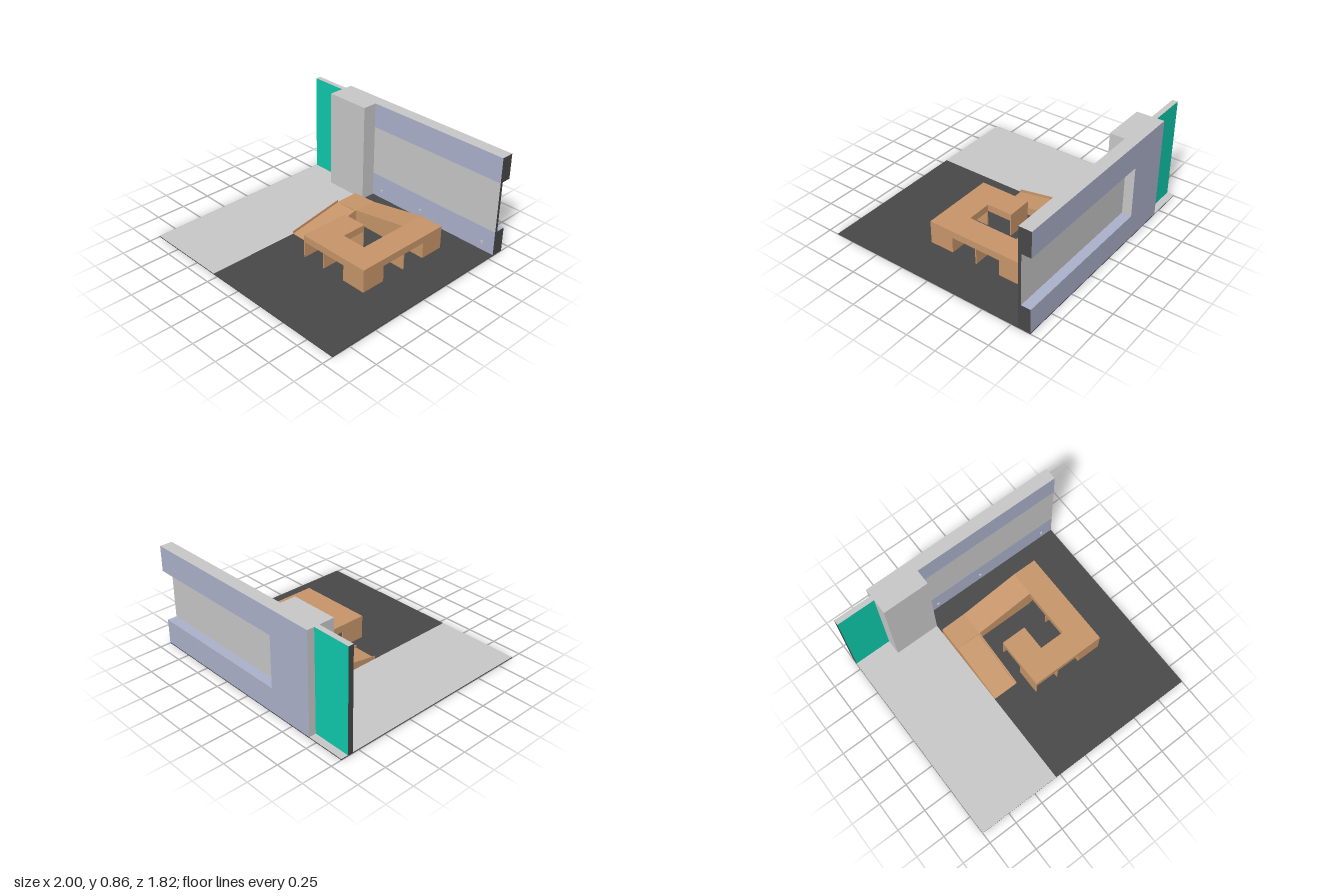
import * as THREE from 'three';

const mat = (name, color) => {
  const m = new THREE.MeshStandardMaterial({ color });
  m.name = name;
  return m;
};

export function createModel() {
  const grey = mat('lightGrey', 0xc8c8c8);
  const dark = mat('darkGrey', 0x484848);
  const blue = mat('paleBlue', 0xacb2cc);
  const green = mat('green', 0x0ecaac);
  const wood = mat('wood', 0xc8966a);
  const root = new THREE.Group();
  root.name = 'exhibitionStand';

  // Box given by its limits; a list of materials runs +x -x +y -y +z -z
  const box = (name, material, x0, x1, y0, y1, z0, z1, parent = root) => {
    const mesh = new THREE.Mesh(new THREE.BoxGeometry(x1 - x0, y1 - y0, z1 - z0), material);
    mesh.position.set((x0 + x1) / 2, (y0 + y1) / 2, (z0 + z1) / 2);
    mesh.name = name;
    parent.add(mesh);
    return mesh;
  };

  // Outline swept along z from z0 to z1
  const shapeOf = pts => new THREE.Shape(pts.map(p => new THREE.Vector2(p[0], p[1])));
  const sweepZ = (name, pts, z0, z1, parent) => {
    const g = new THREE.ExtrudeGeometry(shapeOf(pts), { depth: z1 - z0, bevelEnabled: false });
    g.translate(0, 0, z0);
    const mesh = new THREE.Mesh(g, wood);
    mesh.name = name;
    parent.add(mesh);
  };

  // Outline of (z, y) points swept along x from x0 to x1
  const sweepX = (name, pts, x0, x1, parent) => {
    const g = new THREE.ExtrudeGeometry(shapeOf(pts.map(([z, y]) => [-z, y])), { depth: x1 - x0, bevelEnabled: false });
    g.rotateY(Math.PI / 2);
    g.translate(x0, 0, 0);
    const mesh = new THREE.Mesh(g, wood);
    mesh.name = name;
    parent.add(mesh);
  };

  // Floor: dark base with a light walkway on its right
  const H = 0.86, F = 0.008;
  box('floorBase', dark, -0.29, 1, 0, F, -0.91, 0.91);
  box('walkway', [dark, dark, grey, dark, dark, dark], -1, -0.29, 0, F, -0.91, 0.91);

  // Back wall: two bands with a recessed panel between them
  const wall = new THREE.Group();
  wall.name = 'backWall';
  root.add(wall);
  const bandSides = [dark, grey, grey, blue, blue, blue];
  const sillSides = [dark, grey, blue, blue, blue, blue];
  box('lowerBand', sillSides, -0.29, 1, F, 0.215, -0.91, -0.805, wall);
  box('upperBand', bandSides, -0.29, 1, 0.648, H, -0.91, -0.805, wall);
  box('recessedPanel', [dark, grey, grey, grey, grey, grey], -0.29, 1, 0.215, 0.648, -0.83, -0.805, wall);
  box('column', [grey, grey, grey, grey, grey, blue], -0.68, -0.29, F, H, -0.91, -0.677, wall);
  box('greenPanel', [green, dark, grey, green, green, green], -1, -0.68, F, H, -0.85, -0.805, wall);
  for (const x of [-0.18, 0.25, 0.89]) box('socket', grey, x - 0.01, x + 0.01, 0.07, 0.09, -0.806, -0.797, wall);

  // Spiral counter
  const counter = new THREE.Group();
  counter.name = 'spiralCounter';
  root.add(counter);
  const U = 0.145, T = 0.205;
  const top = shapeOf([
    [0.44, 0.59], [0.65, 0.59], [0.65, -0.265], [0.01, -0.265],
    [0.01, 0.17], [0.225, 0.17], [0.225, -0.05], [0.44, -0.05],
  ]);
  const topGeo = new THREE.ExtrudeGeometry(top, { depth: T - U, bevelEnabled: false });
  topGeo.rotateX(-Math.PI / 2);
  topGeo.translate(0, U, 0);
  const slab = new THREE.Mesh(topGeo, wood);
  slab.name = 'counterTop';
  counter.add(slab);

  // Corner supports and thin partitions
  box('frontCorner', wood, 0.44, 0.65, F, U, 0.055, 0.265, counter);
  box('backCorner', wood, 0.44, 0.65, F, U, -0.59, -0.38, counter);
  box('frontPartition', wood, 0.22, 0.23, F, U, 0.055, 0.265, counter);
  box('endPartition', wood, 0.01, 0.02, F, U, 0.055, 0.265, counter);
  box('sidePartition', wood, 0.44, 0.65, F, U, -0.17, -0.16, counter);
  box('innerPartition', wood, 0.01, 0.225, F, U, -0.17, -0.16, counter);

  // Rising back arm with its inner lip
  sweepZ('risingArm', [[-0.29, F], [0.44, F], [0.44, T], [-0.07, 0.11], [-0.29, 0.1]], -0.59, -0.38, counter);
  sweepZ('armLip', [[-0.05, F], [0.44, F], [0.44, T], [-0.05, 0.122]], -0.385, -0.375, counter);

  // Entry ramp with thin side rails
  sweepX('ramp', [[0.115, F], [-0.38, F], [-0.38, 0.1], [0.115, 0.012]], -0.285, -0.08, counter);
  for (const [x0, x1] of [[-0.29, -0.285], [-0.08, -0.07]])
    sweepX('rampRail', [[0.115, F], [-0.38, F], [-0.38, 0.12], [0.115, 0.034]], x0, x1, counter);

  return root;
}
